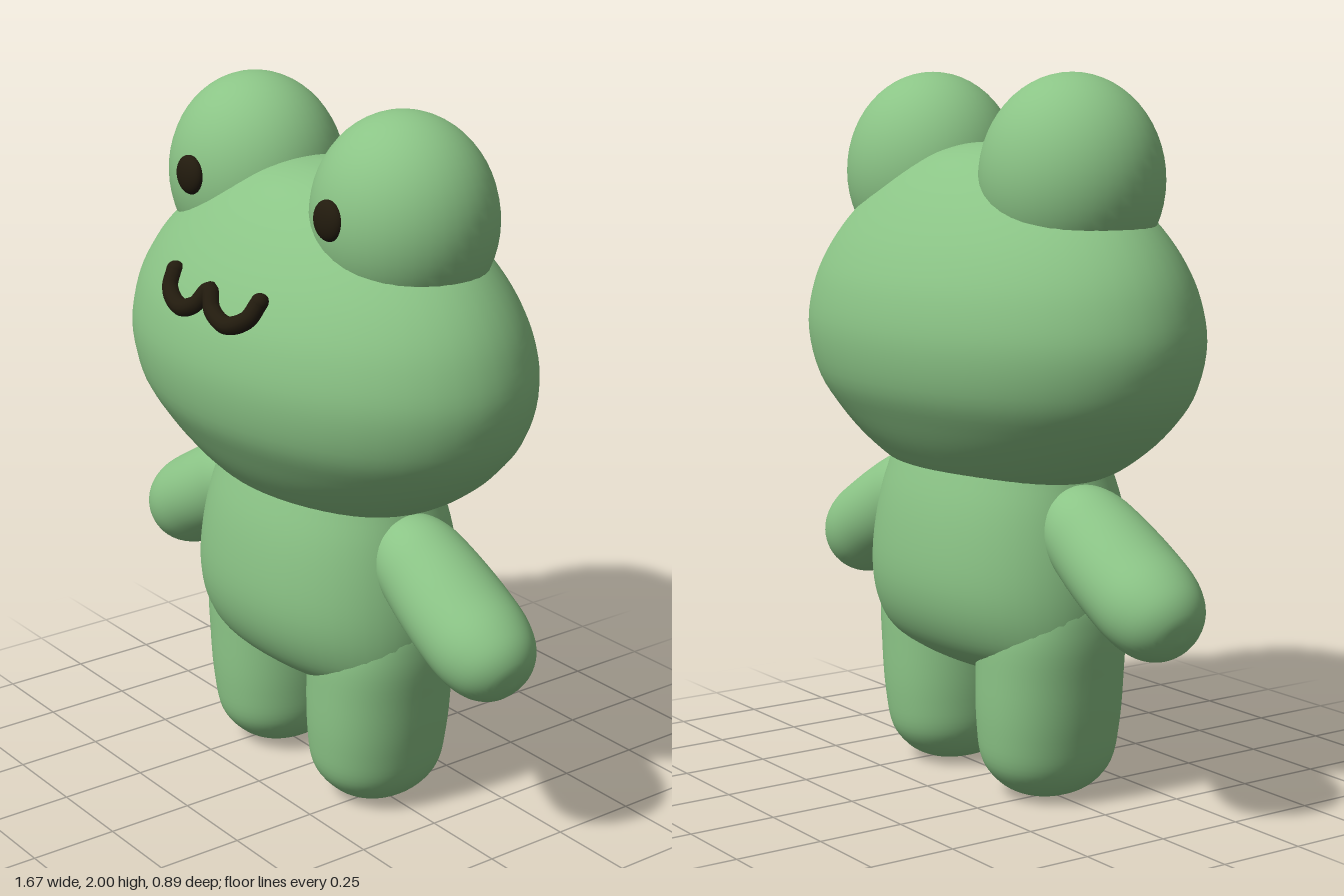
import * as THREE from 'three';
import { mergeVertices } from 'three/addons/utils/BufferGeometryUtils.js';

// Closed smooth solid from [y, halfWidth, halfDepth] sections, listed upwards.
function loft(sections, power = 2, rings = 40, sides = 48) {
  const curve = new THREE.CatmullRomCurve3(sections.map((s) => new THREE.Vector3(s[1], s[0], s[2])));
  const pos = [], index = [];
  const bend = (v) => Math.sign(v) * Math.pow(Math.abs(v), 2 / power);
  for (let i = 0; i <= rings; i++) {
    const p = curve.getPoint(i / rings);
    for (let j = 0; j < sides; j++) {
      const a = (j / sides) * Math.PI * 2;
      pos.push(Math.max(p.x, 0) * bend(Math.cos(a)), p.y, Math.max(p.z, 0) * bend(Math.sin(a)));
      if (i === rings) continue;
      const k = i * sides + j, n = i * sides + (j + 1) % sides;
      index.push(k, k + sides, n, n, k + sides, n + sides);
    }
  }
  let geo = new THREE.BufferGeometry();
  geo.setAttribute('position', new THREE.Float32BufferAttribute(pos, 3));
  geo.setIndex(index);
  geo = mergeVertices(geo, 1e-5);
  geo.computeVertexNormals();
  return geo;
}

export function createModel() {
  const model = new THREE.Group();
  const skin = new THREE.MeshStandardMaterial({ color: 0x8bc486 });
  skin.name = 'green skin';
  const dark = new THREE.MeshStandardMaterial({ color: 0x221b0e });
  dark.name = 'dark brown';

  function add(name, geometry, material, x = 0, y = 0, z = 0) {
    const mesh = new THREE.Mesh(geometry, material);
    mesh.name = name;
    mesh.position.set(x, y, z);
    model.add(mesh);
    return mesh;
  }

  // Wide head
  add('head', loft([
    [0.85, 0, 0], [0.865, 0.22, 0.14], [0.9, 0.39, 0.24], [0.96, 0.51, 0.305], [1.05, 0.625, 0.37],
    [1.15, 0.7, 0.425], [1.28, 0.732, 0.447], [1.4, 0.71, 0.43], [1.5, 0.66, 0.39],
    [1.6, 0.57, 0.33], [1.7, 0.42, 0.25], [1.77, 0.26, 0.165], [1.8, 0.13, 0.085], [1.81, 0, 0],
  ], 2, 56), skin);

  // Body with a rounded belly
  add('body', loft([
    [0.325, 0, 0], [0.335, 0.2, 0.1], [0.37, 0.36, 0.18], [0.42, 0.42, 0.245], [0.5, 0.438, 0.29],
    [0.6, 0.44, 0.31], [0.75, 0.42, 0.3], [0.88, 0.385, 0.27], [0.97, 0.34, 0.23], [1.02, 0, 0],
  ], 2.2), skin);

  const leg = loft([
    [0, 0, 0], [0.01, 0.075, 0.085], [0.04, 0.125, 0.14], [0.1, 0.165, 0.185], [0.2, 0.182, 0.202],
    [0.35, 0.192, 0.207], [0.5, 0.196, 0.2], [0.6, 0.17, 0.16], [0.64, 0, 0],
  ], 2.15);
  const arm = loft([
    [0, 0, 0], [0.03, 0.085, 0.09], [0.1, 0.122, 0.125], [0.2, 0.136, 0.14], [0.35, 0.138, 0.15],
    [0.46, 0.134, 0.142], [0.53, 0.112, 0.115], [0.573, 0.07, 0.07], [0.59, 0, 0],
  ]);
  const ball = new THREE.SphereGeometry(1, 40, 28);

  // Paired parts
  for (const [side, label] of [[1, 'left'], [-1, 'right']]) {
    add(label + 'Leg', leg, skin, side * 0.225, 0, 0).rotation.z = side * -0.05;
    add(label + 'Arm', arm, skin, side * 0.306, 0.834, 0).rotation.z = side * -Math.PI * 2 / 3;
    add(label + 'EyeBump', ball, skin, side * 0.335, 1.715, 0).scale.set(0.268, 0.285, 0.242);
    add(label + 'Eye', ball, dark, side * 0.32, 1.74, 0.237).scale.set(0.055, 0.055, 0.027);
  }

  // Double-curved mouth with rounded ends
  const half = [[0.2, 1.517, 0.37], [0.183, 1.472, 0.397], [0.11, 1.441, 0.415], [0.04, 1.463, 0.41]];
  const points = [
    ...half.map(([x, y, z]) => new THREE.Vector3(-x, y, z)),
    new THREE.Vector3(0, 1.508, 0.392),
    ...half.reverse().map(([x, y, z]) => new THREE.Vector3(x, y, z)),
  ];
  add('mouth', new THREE.TubeGeometry(new THREE.CatmullRomCurve3(points), 64, 0.025, 12), dark);
  for (const p of [points[0], points[8]]) {
    add('mouthCorner', ball, dark, p.x, p.y, p.z).scale.setScalar(0.025);
  }
  return model;
}
